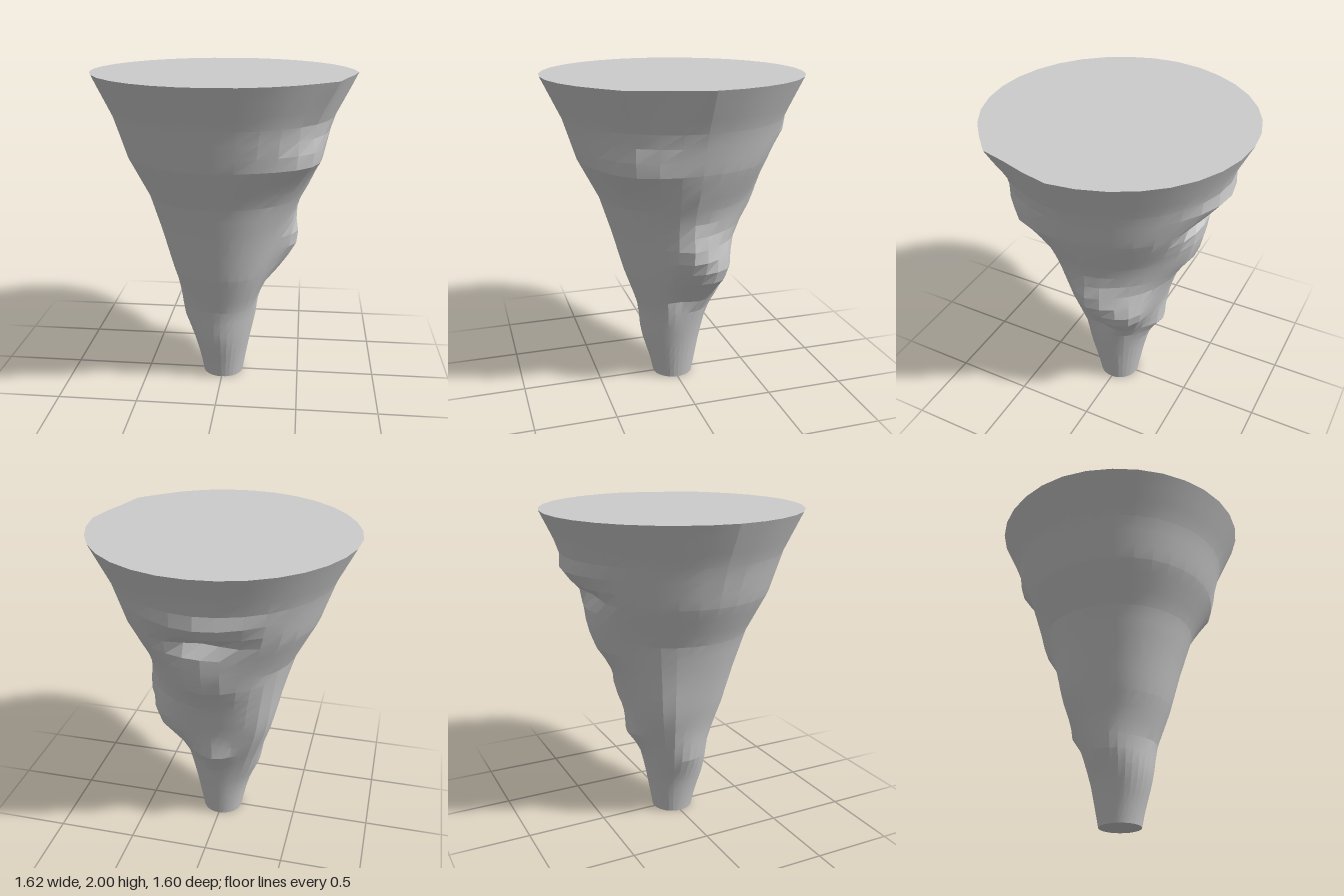
import * as THREE from 'three';
import { toCreasedNormals } from 'three/addons/utils/BufferGeometryUtils.js';

const SIDES = 32;
const ROWS = 24;
const HEIGHT = 2;

// Mean radius at every quarter unit of height
const TAPER = [.13, .175, .23, .32, .39, .47, .6, .68, .8];

// Bulges and hollows: bearing (degrees from +x towards +z), height, depth, spread in degrees, spread in height
const BUMPS = [
  [0, .95, .09, 18, .16],
  [0, .6, -.04, 20, .08],
  [330, .8, .1, 25, .18],
  [270, .58, .06, 25, .1],
  [270, 1.22, .07, 25, .15],
  [270, 1.5, -.1, 20, .06],
  [270, 1.66, .05, 25, .08],
  [215, .78, .06, 25, .35],
  [180, .45, .04, 40, .14],
  [110, .28, .025, 60, .14],
  [35, 1.52, .06, 22, .12],
  [10, 1.3, .03, 30, .15],
  // chipped rim
  [0, 2, .012, 12, .3],
  [17, 2, -.025, 7, .15],
  [34, 2, .025, 7, .15],
  [180, 2, .01, 20, .3],
];

function radiusAt(deg, y) {
  const s = y * 4;
  const n = Math.min(Math.floor(s), TAPER.length - 2);
  let r = THREE.MathUtils.lerp(TAPER[n], TAPER[n + 1], s - n);
  for (const [bearing, height, depth, spread, rise] of BUMPS) {
    const turn = THREE.MathUtils.euclideanModulo(deg - bearing + 180, 360) - 180;
    r += depth * Math.exp(-((turn / spread) ** 2) - ((y - height) / rise) ** 2);
  }
  return r;
}

// One horizontal ring of wall points
function ring(row) {
  const y = row * HEIGHT / ROWS;
  return Array.from({ length: SIDES }, (_, i) => {
    const angle = i / SIDES * Math.PI * 2;
    const r = radiusAt(THREE.MathUtils.radToDeg(angle), y);
    return [r * Math.cos(angle), y, r * Math.sin(angle)];
  });
}

function geometryFrom(points, index) {
  const g = new THREE.BufferGeometry();
  g.setAttribute('position', new THREE.Float32BufferAttribute(points.flat(), 3));
  g.setIndex(index);
  g.computeVertexNormals();
  return g;
}

export function createModel() {
  const group = new THREE.Group();
  group.name = 'funnelRock';
  const material = new THREE.MeshStandardMaterial({ color: 0xcccccc });
  const rings = Array.from({ length: ROWS + 1 }, (_, row) => ring(row));
  const add = (geometry, name) => {
    const mesh = new THREE.Mesh(geometry, material);
    mesh.name = name;
    group.add(mesh);
  };

  // Rugged side wall
  const wall = [];
  for (let row = 0; row < ROWS; row++) {
    for (let i = 0; i < SIDES; i++) {
      const a = row * SIDES + i;
      const b = row * SIDES + (i + 1) % SIDES;
      wall.push(a, a + SIDES, b, b, a + SIDES, b + SIDES);
    }
  }
  add(toCreasedNormals(geometryFrom(rings.flat(), wall), 0.19), 'sideWall');

  // Flat top and foot
  const cap = (row, up) => {
    const points = [[0, row * HEIGHT / ROWS, 0], ...rings[row]];
    const index = [];
    for (let i = 0; i < SIDES; i++) {
      const a = 1 + i;
      const b = 1 + (i + 1) % SIDES;
      index.push(0, up ? b : a, up ? a : b);
    }
    return geometryFrom(points, index);
  };
  add(cap(ROWS, true), 'topFace');
  add(cap(0, false), 'footFace');
  return group;
}
